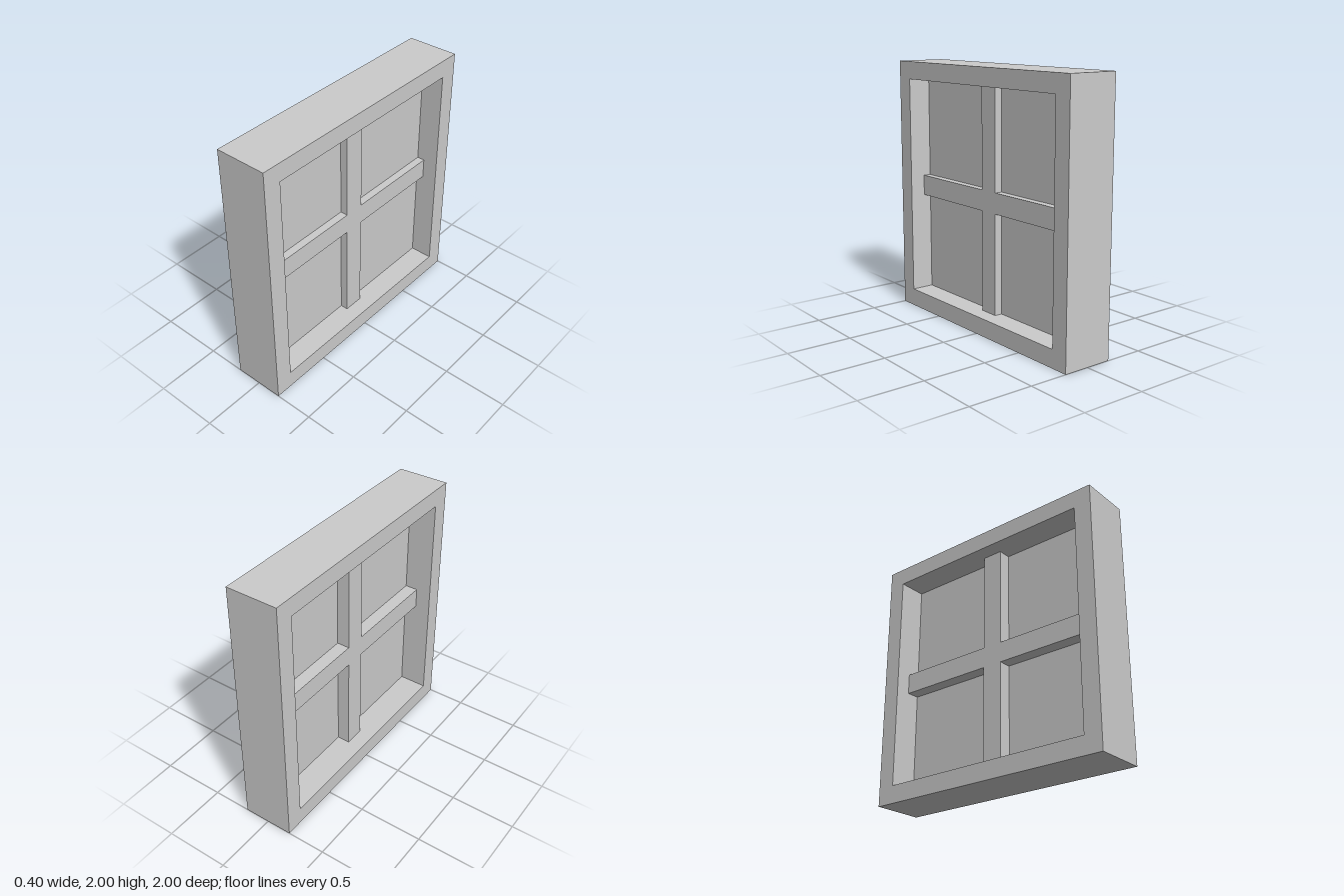
import * as THREE from 'three';

const material = new THREE.MeshStandardMaterial({ color: 0xcccccc, flatShading: true });
const paneMaterial = new THREE.MeshStandardMaterial({ color: 0xcccccc, side: THREE.DoubleSide });

// Polygon from [z, y] corners, measured from the window's centre
const points = (list) => list.map(([z, y]) => new THREE.Vector2(z, y));
const square = (h) => points([[-h, -h], [h, -h], [h, h], [-h, h]]);

// Extrude a shape to the given thickness, centred on x and facing the sides
function slab(name, shape, thickness) {
  const geometry = new THREE.ExtrudeGeometry(shape, { depth: thickness, bevelEnabled: false });
  geometry.translate(0, 0, -thickness / 2);
  geometry.rotateY(Math.PI / 2);
  geometry.translate(0, 1, 0);
  const mesh = new THREE.Mesh(geometry, material);
  mesh.name = name;
  return mesh;
}

export function createModel() {
  const group = new THREE.Group();
  group.name = 'window';
  const opening = 0.862; // half size of the opening
  const bar = 0.08; // half width of the glazing bars

  // Outer frame with a square opening
  const frame = new THREE.Shape(square(1));
  frame.holes.push(new THREE.Path(square(opening)));
  group.add(slab('frame', frame, 0.4));

  // Cross of glazing bars, standing proud of the panes on both sides
  const o = opening, b = bar;
  const cross = new THREE.Shape(points([
    [-b, -o], [b, -o], [b, -b], [o, -b], [o, b], [b, b],
    [b, o], [-b, o], [-b, b], [-o, b], [-o, -b], [-b, -b],
  ]));
  group.add(slab('glazingBars', cross, 0.16));

  // Four sheets of glass, one in each quarter, set slightly off centre
  const size = opening - bar, mid = (opening + bar) / 2;
  for (const sy of [-1, 1]) {
    for (const sz of [-1, 1]) {
      const pane = new THREE.Mesh(new THREE.PlaneGeometry(size, size), paneMaterial);
      pane.name = 'pane';
      pane.rotation.y = Math.PI / 2;
      pane.position.set(0.02, 1 + sy * mid, sz * mid);
      group.add(pane);
    }
  }
  return group;
}
